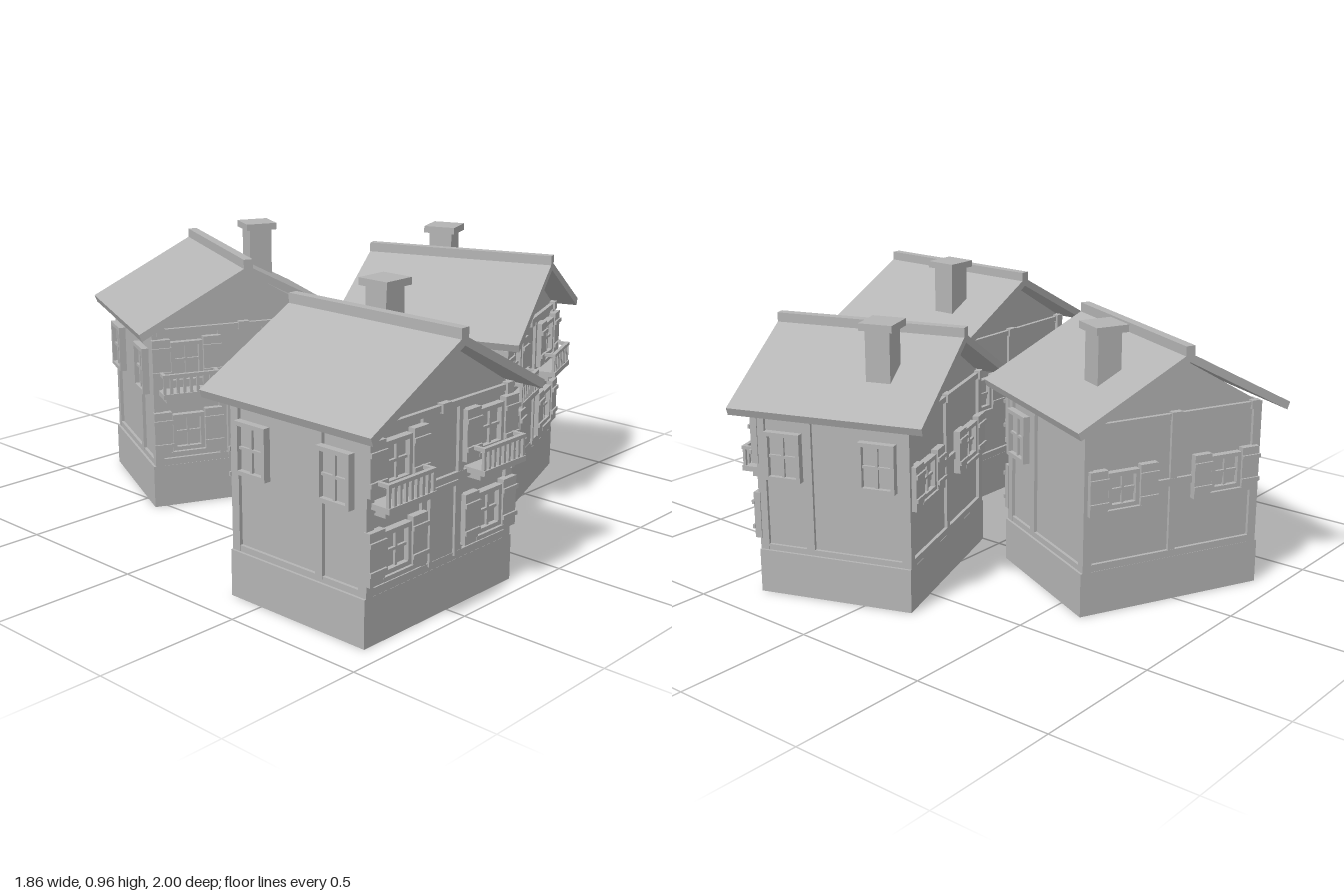
import * as THREE from 'three';

const grey = new THREE.MeshStandardMaterial({ color: 0xb4b4b4 });
grey.name = 'plain grey';

// Box given by its size and centre
function box(parent, name, w, h, d, x, y, z) {
  const mesh = new THREE.Mesh(new THREE.BoxGeometry(w, h, d), grey);
  mesh.name = name;
  mesh.position.set(x, y, z);
  parent.add(mesh);
  return mesh;
}

// Outline in x and y, extruded evenly along z
function prism(parent, name, points, depth) {
  const shape = new THREE.Shape(points.map(([x, y]) => new THREE.Vector2(x, y)));
  const geo = new THREE.ExtrudeGeometry(shape, { depth, bevelEnabled: false });
  geo.translate(0, 0, -depth / 2);
  const mesh = new THREE.Mesh(geo, grey);
  mesh.name = name;
  parent.add(mesh);
}

// Cross-barred window facing +z, its back on z = 0
function makeWindow(w, h, shutters) {
  const g = new THREE.Group();
  g.name = 'window';
  const t = 0.014;
  box(g, 'pane', w, h, 0.008, 0, 0, 0.004);
  for (const s of [-1, 1]) {
    box(g, 'frameSide', t, h, 0.025, s * (w - t) / 2, 0, 0.0125);
    box(g, 'frameRail', w, t, 0.025, 0, s * (h - t) / 2, 0.0125);
  }
  box(g, 'mullion', 0.009, h, 0.017, 0, 0, 0.0085);
  box(g, 'crossbar', w, 0.009, 0.017, 0, 0, 0.0085);
  if (shutters) {
    for (const s of [-1, 1]) {
      const x = s * (w / 2 + 0.036);
      box(g, 'shutter', 0.066, h + 0.03, 0.024, x, -0.002, 0.017);
      for (const k of [-1, 1]) box(g, 'shutterBatten', 0.072, 0.014, 0.008, x, k * h * 0.33, 0.032);
    }
    box(g, 'sill', w + 0.02, 0.014, 0.03, 0, -h / 2 - 0.01, 0.015);
  }
  return g;
}

// Small balcony with balusters, its back on z = 0
function makeBalcony() {
  const g = new THREE.Group();
  g.name = 'balcony';
  box(g, 'balconyFloor', 0.21, 0.018, 0.08, 0, 0.434, 0.04);
  box(g, 'balconyRail', 0.21, 0.012, 0.014, 0, 0.508, 0.071);
  for (let i = 0; i < 9; i++) box(g, 'baluster', 0.01, 0.06, 0.01, -0.098 + i * 0.0245, 0.472, 0.071);
  for (const s of [-1, 1]) {
    box(g, 'sideRail', 0.012, 0.012, 0.07, s * 0.099, 0.508, 0.035);
    box(g, 'bracket', 0.014, 0.025, 0.05, s * 0.08, 0.415, 0.025);
  }
  return g;
}

function makeHouse(name, fullLeftSide) {
  const g = new THREE.Group();
  g.name = name;
  const wx = 0.33, wz = 0.268;
  const put = (part, x, y, z, ry = 0) => {
    part.position.set(x, y, z);
    part.rotation.y = ry;
    g.add(part);
  };

  // Plinth, walls and gable
  box(g, 'plinth', 0.7, 0.155, 0.56, 0, 0.0775, 0);
  box(g, 'walls', wx * 2, 0.51, wz * 2, 0, 0.41, 0);
  prism(g, 'gable', [[-wx, 0.664], [wx, 0.664], [0, 0.858]], wz * 2);

  // Roof slabs, ridge and chimney
  prism(g, 'roof', [[0, 0.886], [-0.405, 0.671], [-0.395, 0.645], [0, 0.856], [0.395, 0.645], [0.405, 0.671]], 0.7);
  box(g, 'ridgeCap', 0.034, 0.04, 0.7, 0, 0.89, 0);
  box(g, 'chimneyShaft', 0.088, 0.2, 0.088, 0.196, 0.837, -0.13);
  box(g, 'chimneyCap', 0.12, 0.025, 0.12, 0.196, 0.947, -0.13);

  // Timber frame on front and back
  for (const s of [-1, 1]) {
    const z = s * wz;
    box(g, 'sillBeam', 0.68, 0.025, 0.024, 0, 0.168, z);
    box(g, 'middleBeam', 0.68, 0.026, 0.024, 0, 0.424, z);
    box(g, 'topBeam', 0.68, 0.02, 0.03, 0, 0.656, z);
    box(g, 'beamEnd', 0.04, 0.03, 0.045, 0, 0.657, z);
    for (const k of [-1, 1]) {
      box(g, 'cornerPost', 0.032, 0.5, 0.032, k * 0.326, 0.405, s * 0.264);
      box(g, 'beamEnd', 0.03, 0.03, 0.045, k * 0.31, 0.657, z);
    }
  }
  for (const k of [-1, 1]) box(g, 'frontPost', 0.024, 0.49, 0.022, k * 0.085, 0.41, wz);
  box(g, 'backPost', 0.026, 0.49, 0.022, 0, 0.41, -wz);

  // Door with frame
  box(g, 'door', 0.105, 0.225, 0.02, 0, 0.285, wz);
  for (const k of [-1, 1]) box(g, 'doorJamb', 0.014, 0.24, 0.036, k * 0.06, 0.29, wz);
  box(g, 'doorLintel', 0.134, 0.016, 0.036, 0, 0.407, wz);

  // Shuttered windows and balconies
  for (const k of [-1, 1]) {
    put(makeWindow(0.118, 0.135, true), k * 0.218, 0.28, wz);
    put(makeWindow(0.118, 0.135, true), k * 0.218, 0.55, wz);
    put(makeBalcony(), k * 0.218, 0, wz);
    put(makeWindow(0.118, 0.125, true), k * 0.2, 0.435, -wz, Math.PI);
  }

  // Side beams, posts and windows
  for (const s of [-1, 1]) {
    box(g, 'sideSill', 0.022, 0.02, 0.54, s * wx, 0.165, 0);
    box(g, 'sidePost', 0.024, 0.49, 0.03, s * wx, 0.41, 0.09);
    for (const k of [-1, 1]) {
      if (s > 0 && k < 0 && !fullLeftSide) continue;
      put(makeWindow(0.13, 0.17, false), s * (wx + 0.015), 0.505, k * 0.171, s * Math.PI / 2);
    }
  }
  return g;
}

export function createModel() {
  const model = new THREE.Group();
  model.name = 'chaletGroup';
  // Name, x, z, turn in degrees, whether all side windows are present
  const plots = [
    ['frontHouse', -0.528, 0.649, 0, true],
    ['sideHouse', 0.426, 0.221, 20, true],
    ['rearHouse', -0.107, -0.511, -25, false],
  ];
  for (const [name, x, z, turn, full] of plots) {
    const house = makeHouse(name, full);
    house.position.set(x, 0, z);
    house.rotation.y = THREE.MathUtils.degToRad(turn);
    model.add(house);
  }
  return model;
}
